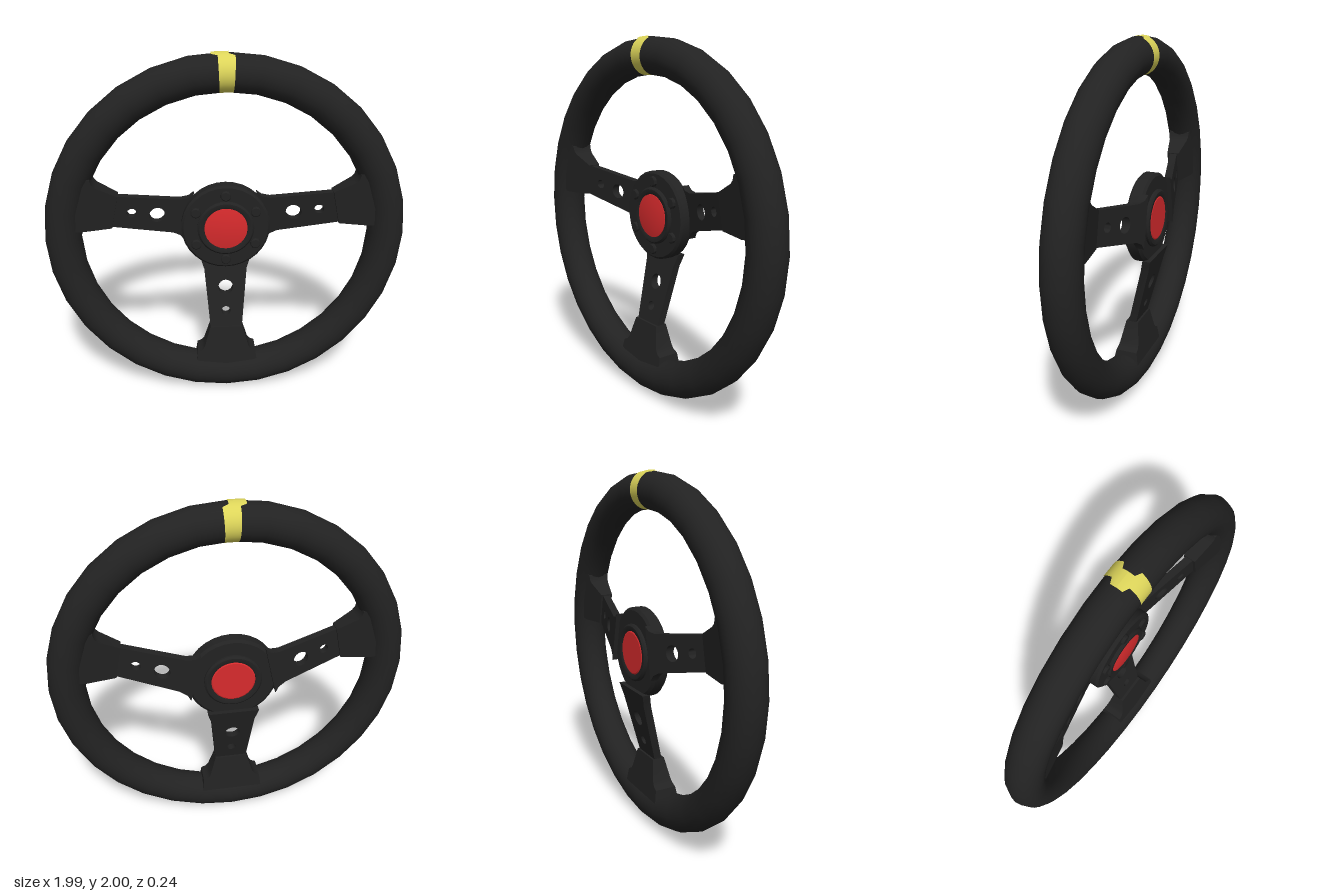
import * as THREE from 'three';
import { toCreasedNormals } from 'three/addons/utils/BufferGeometryUtils.js';

const black = new THREE.MeshStandardMaterial({ color: 0x222222 });
black.name = 'black';
const red = new THREE.MeshStandardMaterial({ color: 0xd82b2d });
red.name = 'red';
const yellow = new THREE.MeshStandardMaterial({ color: 0xddd55a });
yellow.name = 'yellow';

function part(name, geometry, material) {
  const mesh = new THREE.Mesh(geometry, material);
  mesh.name = name;
  return mesh;
}

// Outline in the xy plane (x = distance from hub), given a centre line and half thickness along x
function plate(points, holes, center, half) {
  const shape = new THREE.Shape(points.map(([x, y]) => new THREE.Vector2(x, y)));
  for (const [x, y, r] of holes) {
    const hole = new THREE.Path();
    hole.absarc(x, y, r, 0, Math.PI * 2, true);
    shape.holes.push(hole);
  }
  const geometry = new THREE.ExtrudeGeometry(shape, { depth: 1, bevelEnabled: false, curveSegments: 12 });
  const p = geometry.attributes.position;
  for (let i = 0; i < p.count; i++) {
    const x = p.getX(i);
    p.setZ(i, center(x) + (p.getZ(i) - 0.5) * 2 * half(x));
  }
  return toCreasedNormals(geometry, 0.6);
}

// Revolved part with its axis along z; profile runs from back to front as [radius, z]
function turned(profile, segments = 32) {
  const geometry = new THREE.LatheGeometry(profile.map(([r, z]) => new THREE.Vector2(r, z)), segments);
  geometry.rotateX(Math.PI / 2);
  return toCreasedNormals(geometry, 0.5);
}

function makeRim() {
  const rim = new THREE.Group();
  rim.name = 'rim';
  rim.add(part('rimGrip', new THREE.TorusGeometry(0.897, 0.1, 20, 32), black));

  // Centre mark: a thin sleeve, stepped sideways along the outermost strip
  const band = new THREE.TorusGeometry(0.897, 0.1025, 40, 4, 0.09);
  const p = band.attributes.position;
  const v = new THREE.Vector3();
  const axis = new THREE.Vector3(0, 0, 1);
  for (let i = 0; i < p.count; i++) {
    v.fromBufferAttribute(p, i);
    const outermost = Math.hypot(v.x, v.y) > 0.99 && v.z < 0.04;
    v.applyAxisAngle(axis, Math.PI / 2 - 0.045 + (outermost ? 0.033 : 0));
    p.setXYZ(i, v.x, v.y, v.z);
  }
  band.computeVertexNormals();
  rim.add(part('centreMark', band, yellow));

  rim.position.set(0, 1, 0.01);
  rim.rotation.x = -0.009;
  return rim;
}

// One drilled spoke with the flared sleeve that joins it to the rim
function makeSpoke(name, angle, flip, root, lower) {
  const group = new THREE.Group();
  group.name = name;
  const outline = [
    [0.21, -0.145], [0.235, -root - 0.015], [0.28, -root], [0.68, -0.088],
    [0.68, 0.088], [0.28, root], [0.235, root + 0.015], [0.21, 0.145],
  ];
  const holes = [[0.39, 0, 0.043], [0.53, 0, 0.026]];
  group.add(part('spokeArm', plate(outline, holes, (x) => -0.0925 + 0.25 * (x - 0.25), () => 0.0225), black));

  const upper = [[0.62, 0.095], [0.74, 0.13], [0.762, 0.145], [0.775, 0.172], [0.85, 0.182]];
  const sleeve = [...lower, ...upper.slice().reverse()].map(([x, y]) => [x, y * flip]);
  group.add(part('spokeSleeve',
    plate(sleeve, [], (x) => 0.002 + 0.03 * (x - 0.62), (x) => 0.036 + 0.17 * (x - 0.62)), black));
  group.rotation.z = angle;
  return group;
}

function makeHub() {
  const hub = new THREE.Group();
  hub.name = 'hub';
  hub.add(part('hubPlate', turned([
    [0, -0.1], [0.235, -0.1], [0.25, -0.088], [0.25, -0.03], [0.238, -0.018], [0, -0.018],
  ]), black));
  hub.add(part('buttonSurround', turned([
    [0.122, -0.1], [0.122, -0.116], [0.132, -0.121], [0.15, -0.121], [0.16, -0.112], [0.16, -0.01],
    [0.15, 0], [0.132, 0], [0.122, -0.005], [0.122, -0.02],
  ]), black));

  // Red faces on both sides
  hub.add(part('hornButton', turned([
    [0.122, -0.02], [0.121, -0.003], [0.08, 0.004], [0, 0.007],
  ], 24), red));
  hub.add(part('backDisc', turned([
    [0, -0.118], [0.115, -0.118], [0.122, -0.114], [0.122, -0.1],
  ], 24), red));

  // Ring of six bolts
  for (let i = 0; i < 6; i++) {
    const a = Math.PI / 2 + (i * Math.PI) / 3;
    const bolt = part('bolt', turned([
      [0.03, -0.03], [0.03, -0.008], [0.024, -0.002], [0, -0.002],
    ], 10), black);
    bolt.position.set(0.193 * Math.cos(a), 0.193 * Math.sin(a), 0);
    hub.add(bolt);
  }

  // Two side spokes and one pointing down
  const tilt = THREE.MathUtils.degToRad(12);
  const sideLower = [[0.62, -0.093], [0.78, -0.132], [0.88, -0.135]];
  const evenLower = [[0.62, -0.095], [0.74, -0.13], [0.762, -0.145], [0.775, -0.172], [0.85, -0.182]];
  hub.add(makeSpoke('leftSpoke', tilt, 1, 0.102, sideLower));
  hub.add(makeSpoke('rightSpoke', Math.PI - tilt, -1, 0.102, sideLower));
  hub.add(makeSpoke('lowerSpoke', -Math.PI / 2, 1, 0.124, evenLower));
  hub.position.y = 1.025;
  return hub;
}

export function createModel() {
  const model = new THREE.Group();
  model.name = 'steeringWheel';
  model.add(makeRim(), makeHub());
  return model;
}
